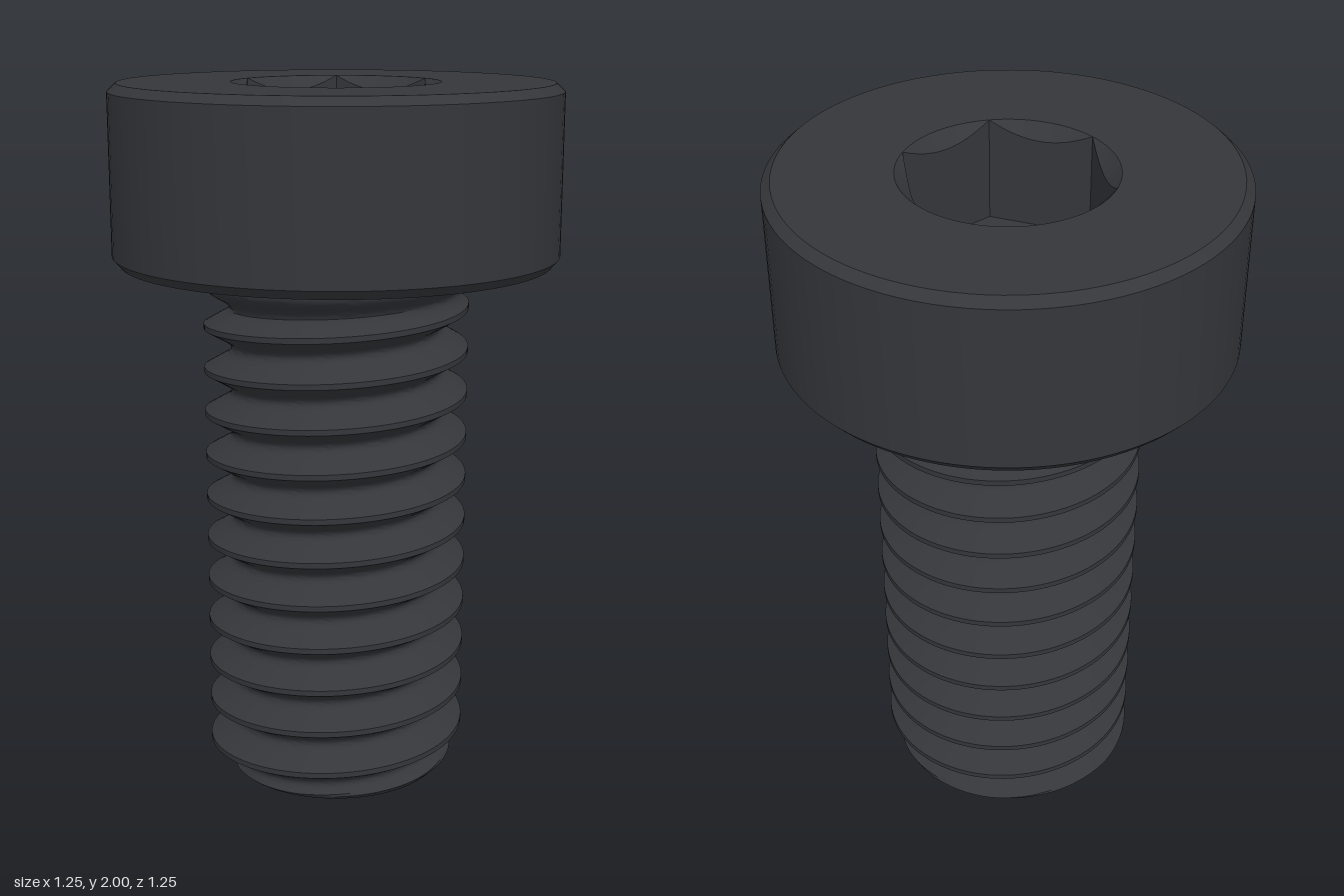
import * as THREE from 'three';
import { toCreasedNormals } from 'three/addons/utils/BufferGeometryUtils.js';

const SIDES = 96;
const HEAD_BOTTOM = 1.505, HEAD_TOP = 2;
const PITCH = 0.125, CREST = 0.375, TIP = 0.31, FILLET = 0.025;
const FLAT = 0.25, CORNER = FLAT / Math.cos(Math.PI / 6), SOCKET_FLOOR = 1.71;

// Closed skin of rows around the y axis; point(row, turn) gives [radius, y], turn in 0..1
function skin(rows, point) {
  const positions = [], index = [];
  for (let i = 0; i <= rows; i++) {
    for (let j = 0; j <= SIDES; j++) {
      const [r, y] = point(i, j / SIDES);
      const angle = ((j % SIDES) / SIDES) * Math.PI * 2;
      positions.push(r * Math.cos(angle), y, -r * Math.sin(angle));
      if (i < rows && j < SIDES) {
        const a = i * (SIDES + 1) + j, c = a + SIDES + 1;
        index.push(a, a + 1, c, a + 1, c + 1, c);
      }
    }
  }
  const geometry = new THREE.BufferGeometry();
  geometry.setAttribute('position', new THREE.Float32BufferAttribute(positions, 3));
  geometry.setIndex(index);
  return toCreasedNormals(geometry, 0.7);
}

// Thread depth below the crest: narrow flat crest, 60 degree flanks, rounded root
function threadDepth(phase) {
  const s = Math.abs(phase - Math.round(phase));
  if (s < 0.0625) return 0;
  const flank = (Math.min(s, 0.375) - 0.0625) * PITCH * Math.sqrt(3);
  return s < 0.375 ? flank : flank + 0.009 * (1 - ((0.5 - s) / 0.125) ** 2);
}

// Shank radius: thread fading out under the head, chamfered tip, fillet into the head
function shankRadius(turn, y) {
  const fade = THREE.MathUtils.clamp((1.46 - y) / 0.08, 0, 1);
  let r = CREST - threadDepth(y / PITCH - turn) * fade;
  r = Math.min(r, TIP + y);
  const up = Math.max(0, y - (HEAD_BOTTOM - FILLET));
  return r + FILLET - Math.sqrt(Math.max(0, FILLET ** 2 - up ** 2));
}

export function createModel() {
  const bolt = new THREE.Group();
  bolt.name = 'socketHeadBolt';
  const material = new THREE.MeshStandardMaterial({ color: 0x34363a });
  const add = (name, geometry) => {
    const mesh = new THREE.Mesh(geometry, material);
    mesh.name = name;
    bolt.add(mesh);
  };

  // Head with chamfered rims, open in the middle for the socket
  const headProfile = [
    [0.385, HEAD_BOTTOM], [0.603, HEAD_BOTTOM], [0.625, 1.53],
    [0.625, 1.977], [0.6, HEAD_TOP], [CORNER, HEAD_TOP],
  ].map(([r, y]) => new THREE.Vector2(r, y));
  add('head', toCreasedNormals(new THREE.LatheGeometry(headProfile, SIDES), 0.5));

  // Hexagonal socket: round countersunk mouth, six walls, flat floor
  add('hexSocket', skin(3, (row, turn) => {
    const sector = (turn * 6) % 1 - 0.5;
    const hex = FLAT / Math.cos(sector * Math.PI / 3);
    return [
      [CORNER, HEAD_TOP],
      [hex, HEAD_TOP - (CORNER - hex)],
      [hex, SOCKET_FLOOR],
      [0, SOCKET_FLOOR],
    ][row];
  }));

  // Threaded shank: rows climb along the helix and are cut flat at both ends
  const steps = 16;
  add('threadedShank', skin(steps * 14 + 4, (row, turn) => {
    if (row === 0) return [0, 0];
    const y = THREE.MathUtils.clamp(PITCH * (row / steps - 2 + turn), 0, HEAD_BOTTOM);
    return [shankRadius(turn, y), y];
  }));

  return bolt;
}
